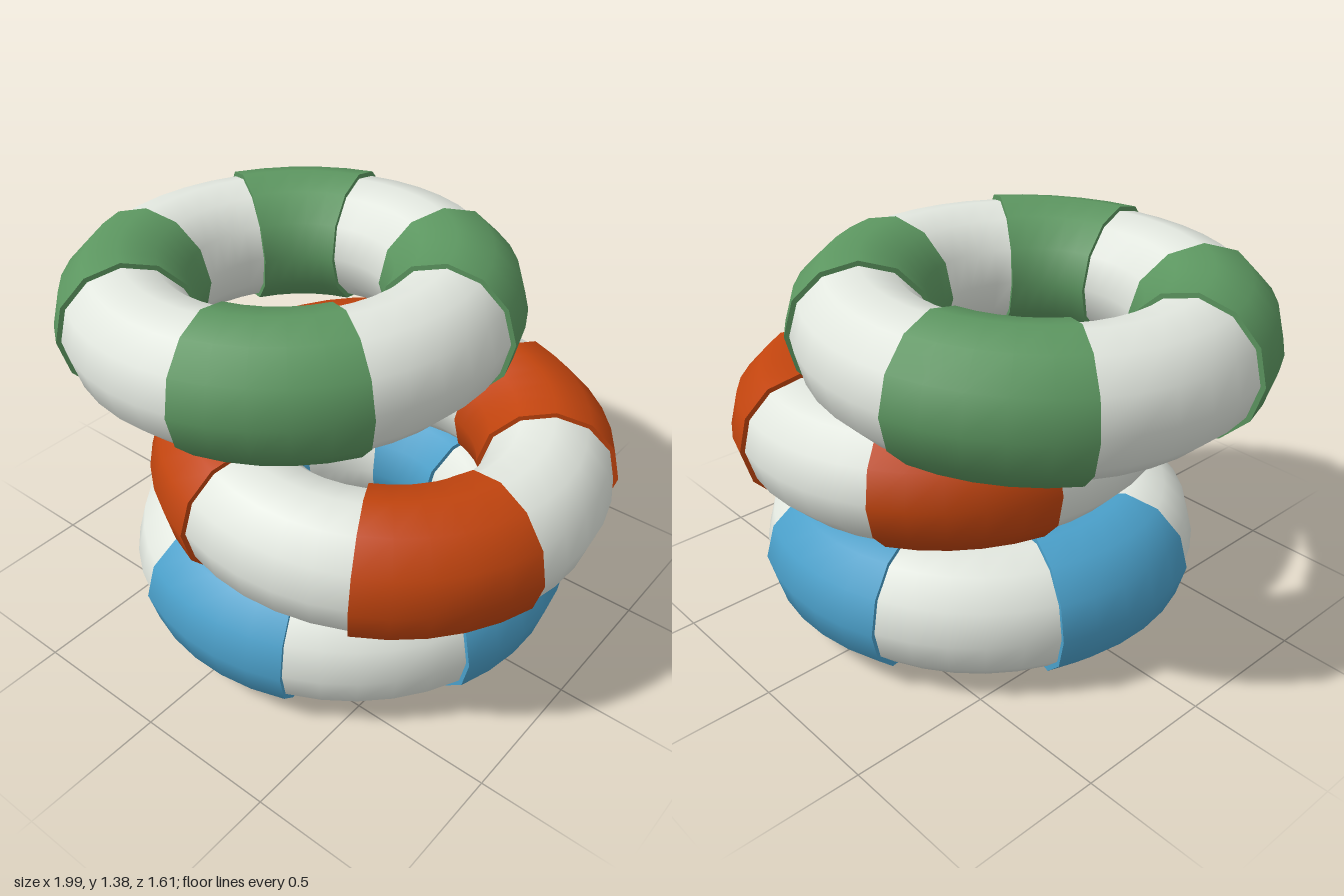
import * as THREE from 'three';

const RING = 0.565;   // centre-line radius
const TUBE = 0.226;   // white tube radius
const BAND = 0.243;   // coloured sleeve radius
const SIDES = 12;
const ARC = Math.PI / 4;

const paint = (name, color) => {
  const m = new THREE.MeshStandardMaterial({ color });
  m.name = name;
  return m;
};

function named(name, geometry, material) {
  const mesh = new THREE.Mesh(geometry, material);
  mesh.name = name;
  return mesh;
}

// One swim ring: a white tube with four coloured sleeves
function swimRing(name, white, color, start) {
  const ring = new THREE.Group();
  ring.name = name;
  const tube = new THREE.TorusGeometry(RING, TUBE, SIDES, 40).rotateX(-Math.PI / 2);
  tube.rotateY(start);
  ring.add(named('tube', tube, white));

  const sleeve = new THREE.TorusGeometry(RING, BAND, SIDES, 5, ARC).rotateX(-Math.PI / 2);
  // Thin rims closing the step at both ends of a sleeve
  const rim = new THREE.RingGeometry(TUBE - 0.006, BAND, SIDES, 1).translate(RING, 0, 0);
  const endRim = rim.clone().rotateY(Math.PI).translate(2 * RING, 0, 0).rotateY(ARC);
  for (let i = 0; i < 4; i++) {
    const band = new THREE.Group();
    band.name = 'band' + (i + 1);
    band.add(
      named('sleeve', sleeve, color),
      named('startRim', rim, color),
      named('endRim', endRim, color)
    );
    band.rotation.y = start + i * Math.PI / 2;
    ring.add(band);
  }
  return ring;
}

export function createModel() {
  const model = new THREE.Group();
  model.name = 'swimRingStack';
  const white = paint('white', 0xe2e7df);
  const rings = [
    // name, colour, x, y, tilt, first sleeve angle in degrees
    ['bottomRing', paint('blue', 0x4a9fc9), 0.058, 0.243, 0, -22.5],
    ['middleRing', paint('orange', 0xc1440e), 0.206, 0.667, -0.04, 29.8],
    ['topRing', paint('green', 0x5c9660), -0.208, 1.119, 0.03, 13.8],
  ];
  for (const [name, color, x, y, tilt, degrees] of rings) {
    const ring = swimRing(name, white, color, THREE.MathUtils.degToRad(degrees));
    ring.position.set(x, y, 0);
    ring.rotation.z = tilt;
    model.add(ring);
  }
  return model;
}
